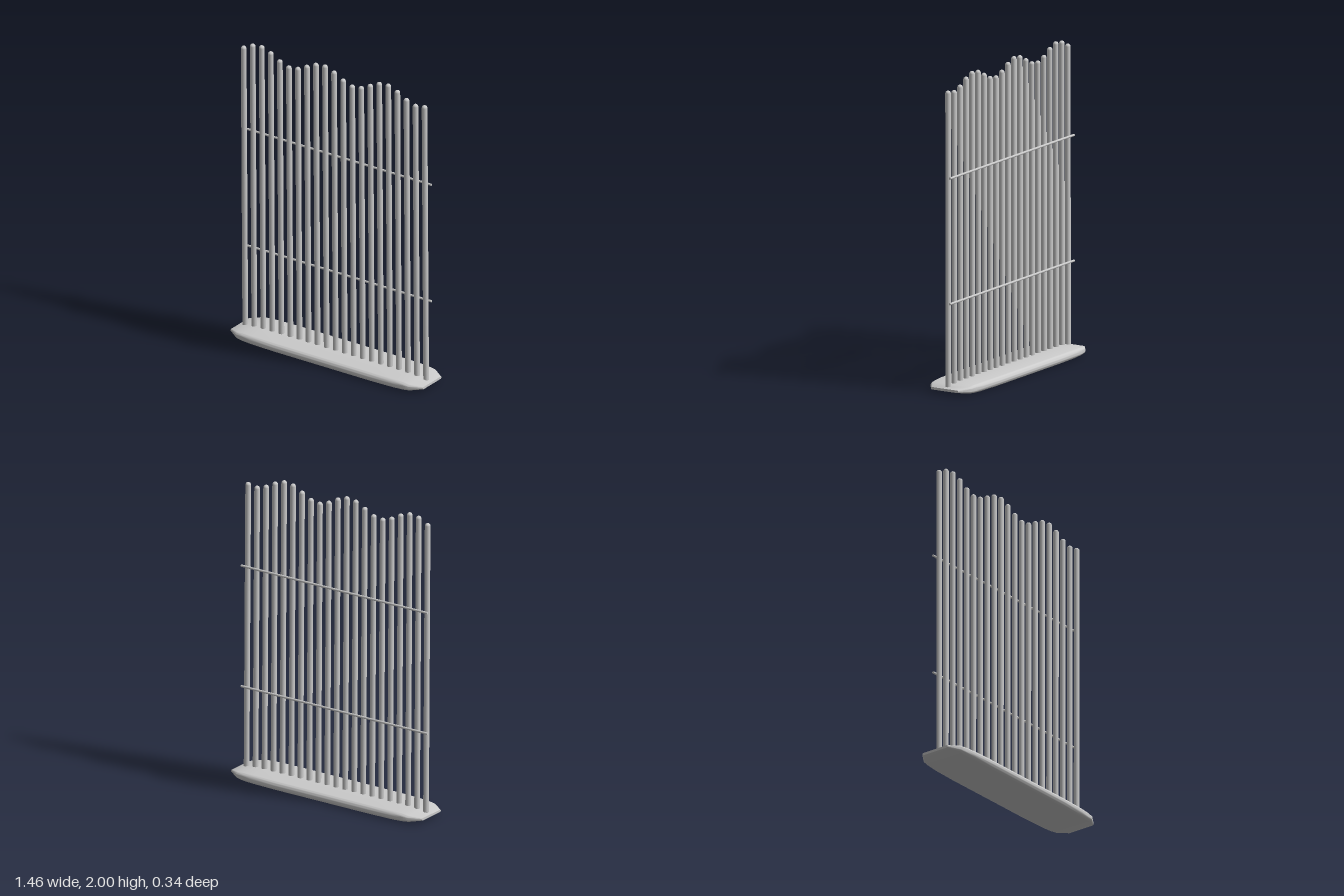
import * as THREE from 'three';
import { toCreasedNormals } from 'three/addons/utils/BufferGeometryUtils.js';

const material = new THREE.MeshStandardMaterial({ color: 0xcccccc });

function addMesh(parent, name, geometry) {
  const mesh = new THREE.Mesh(geometry, material);
  mesh.name = name;
  parent.add(mesh);
  return mesh;
}

// Rounded slab lofted along x from stadium sections: [x, half depth, half height]
function slabGeometry() {
  const half = [
    [0.36, 0.168, 0.029], [0.54, 0.163, 0.0285], [0.61, 0.157, 0.026],
    [0.655, 0.15, 0.021], [0.73, 0.1, 0.008], [0.73, 0, 0],
  ];
  const sections = [...half.map(([x, w, h]) => [-x, w, h]).reverse(), ...half];
  const sides = 24;
  const positions = [];
  const index = [];
  for (const [x, w, h] of sections) {
    for (let j = 0; j < sides; j++) {
      const a = ((j + 0.5) / sides) * Math.PI * 2;
      positions.push(x, h * Math.sin(a), Math.sign(Math.cos(a)) * (w - h) + h * Math.cos(a));
    }
  }
  for (let i = 0; i < sections.length - 1; i++) {
    for (let j = 0; j < sides; j++) {
      const a = i * sides + j;
      const b = i * sides + ((j + 1) % sides);
      index.push(a, a + sides, b, b, a + sides, b + sides);
    }
  }
  const geometry = new THREE.BufferGeometry();
  geometry.setAttribute('position', new THREE.Float32BufferAttribute(positions, 3));
  geometry.setIndex(index);
  return toCreasedNormals(geometry, 0.7);
}

// Upright pole with a domed top, leaning very slightly
function poleGeometry(bottom, top) {
  const r = 0.0178;
  const profile = [new THREE.Vector2(0, bottom), new THREE.Vector2(r, bottom)];
  for (let k = 0; k <= 5; k++) {
    const a = (k / 5) * Math.PI / 2;
    profile.push(new THREE.Vector2(r * Math.cos(a), top - r + r * Math.sin(a)));
  }
  const geometry = new THREE.LatheGeometry(profile, 14);
  const p = geometry.attributes.position;
  for (let i = 0; i < p.count; i++) {
    const t = p.getY(i) / 2;
    p.setX(i, p.getX(i) - 0.008 * t);
    p.setZ(i, p.getZ(i) + 0.007 * t);
  }
  return geometry;
}

export function createModel() {
  const group = new THREE.Group();
  group.name = 'slattedScreen';

  addMesh(group, 'base', slabGeometry()).position.y = 0.03;

  // Row of poles whose tops follow a wave
  const poles = new THREE.Group();
  poles.name = 'poles';
  group.add(poles);
  for (let i = 0; i < 21; i++) {
    const top = 1.958 + 0.042 * Math.sin(i * 0.9);
    addMesh(poles, 'pole', poleGeometry(0.04, top)).position.x = -0.689 + i * 0.0687;
  }

  // Thin rails behind the poles
  for (const [name, y] of [['lowerRail', 0.575], ['upperRail', 1.375]]) {
    const rail = addMesh(group, name, new THREE.CylinderGeometry(0.0075, 0.0075, 1.426, 10));
    rail.rotation.z = Math.PI / 2;
    rail.position.set(-0.006, y, -0.025);
  }
  return group;
}
